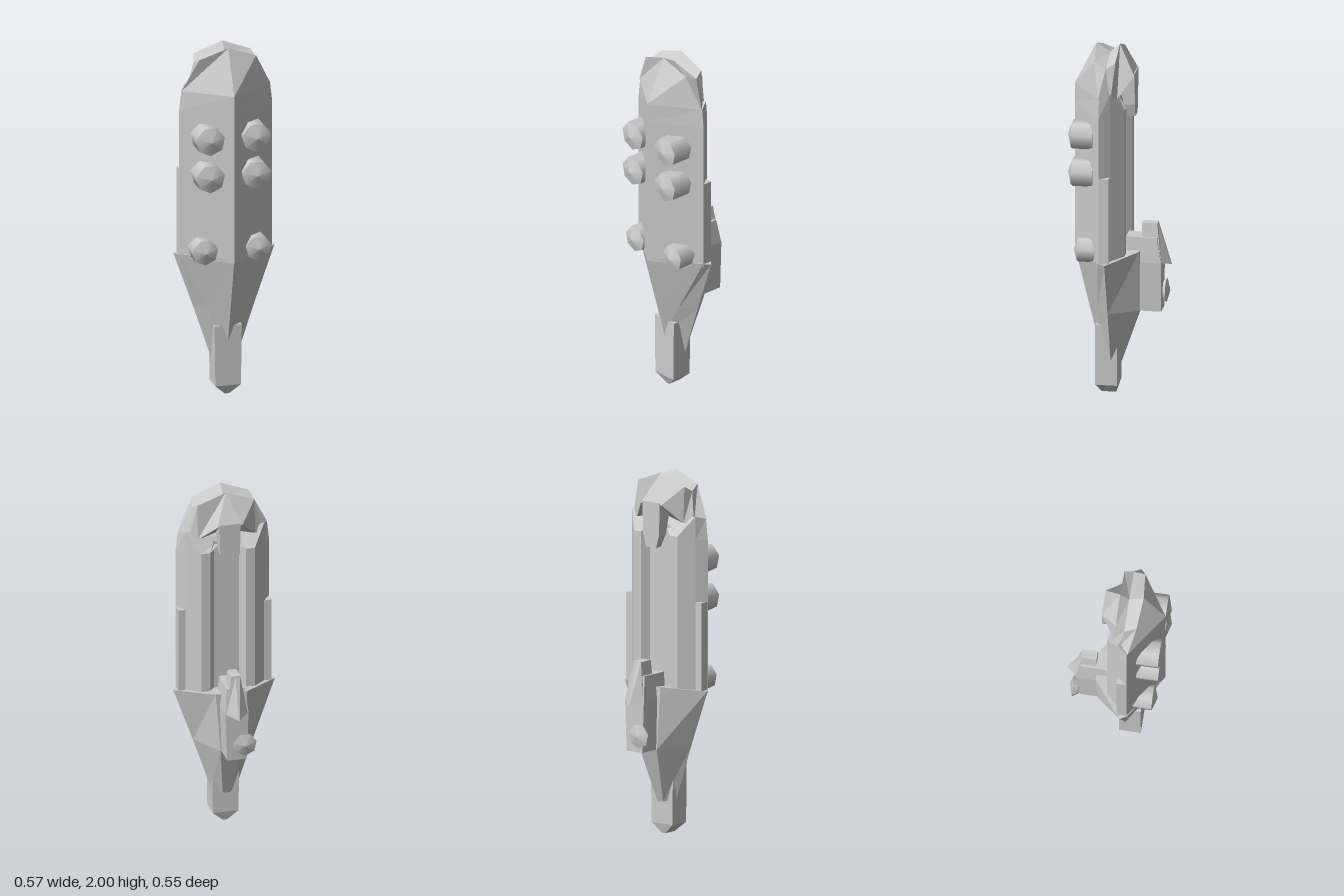
import * as THREE from 'three';

const flat = new THREE.MeshStandardMaterial({ color: 0xcccccc, flatShading: true });
const smooth = new THREE.MeshStandardMaterial({ color: 0xcccccc });

// Full ring from its +x half, listed from front to back
const ring = (half) => [
  ...half,
  ...half.filter((p) => p[0] !== 0).reverse().map(([x, y, z]) => [-x, y, z]),
];

// Skin between rings (bottom to top), closed at both ends
function loft(name, rings) {
  const pos = [];
  const tri = (a, b, c) => pos.push(...a, ...b, ...c);
  const n = rings[0].length;
  const centre = (r) => [0, 1, 2].map((k) => r.reduce((s, p) => s + p[k], 0) / n);
  const top = rings[rings.length - 1];
  const c0 = centre(rings[0]), c1 = centre(top);
  for (let i = 0; i < n; i++) {
    const j = (i + 1) % n;
    for (let r = 0; r < rings.length - 1; r++) {
      const lo = rings[r], hi = rings[r + 1];
      tri(lo[i], lo[j], hi[j]);
      tri(lo[i], hi[j], hi[i]);
    }
    tri(c0, rings[0][j], rings[0][i]);
    tri(c1, top[i], top[j]);
  }
  const g = new THREE.BufferGeometry();
  g.setAttribute('position', new THREE.Float32BufferAttribute(pos, 3));
  g.computeVertexNormals();
  const m = new THREE.Mesh(g, flat);
  m.name = name;
  return m;
}

// Rectangular ring: half width, height, front z, back z
const rect = (x, y, zf, zb) => ring([[x, y, zf], [x, y, zb]]);

// Seven-sided stud with a shallow pointed cap, facing +z
function stud(name, r, length, cap, rBack = r) {
  const g = new THREE.Group();
  g.name = name;
  const shaft = new THREE.Mesh(new THREE.CylinderGeometry(r, rBack, length, 7), smooth);
  const tip = new THREE.Mesh(new THREE.ConeGeometry(r, cap, 7), smooth);
  shaft.name = 'studShaft';
  tip.name = 'studCap';
  shaft.rotation.x = tip.rotation.x = Math.PI / 2;
  shaft.position.z = -length / 2;
  tip.position.z = cap / 2;
  g.add(shaft, tip);
  return g;
}

export function createModel() {
  const model = new THREE.Group();
  model.name = 'sheath';

  // Long body with a front ridge and a grooved back
  const body = (ys, w) => ring([
    [0, ys[0], 0.26], [w, ys[1], 0.085], [0.22, ys[2], 0.03],
    [0.15, ys[3], -0.04], [0.1, ys[3], -0.04], [0.07, ys[4], 0],
  ]);
  model.add(loft('body', [
    body([0.8, 0.8, 0.8, 0.8, 0.8], 0.262),
    body([1.65, 1.65, 1.65, 1.65, 1.65], 0.262),
    body([1.76, 1.76, 1.78, 1.67, 1.72], 0.25),
  ]));

  // Faceted hood over the top, overhanging the back
  model.add(loft('hood', [
    ring([[0, 1.76, 0.26], [0.25, 1.76, 0.09], [0.21, 1.73, 0.03], [0.16, 1.74, 0], [0.07, 1.84, -0.08]]),
    ring([[0, 2, 0.14], [0.16, 1.94, 0.125], [0.175, 1.91, 0.06], [0.16, 1.94, 0.01], [0.002, 2, 0.01]]),
  ]));

  // Tab hanging behind the hood
  model.add(loft('hoodTab', [
    rect(0.035, 1.6, -0.04, -0.08),
    rect(0.055, 1.67, -0.02, -0.08),
    rect(0.06, 1.85, 0.02, -0.08),
  ]));

  // Tapered lower guard
  model.add(loft('lowerGuard', [
    ring([[0, 0.31, 0.135], [0.001, 0.31, 0.135], [0.075, 0.2, 0.05], [0.02, 0.18, 0]]),
    ring([[0, 0.5, 0.182], [0.097, 0.5, 0.118], [0.175, 0.5, 0.05], [0.06, 0.49, -0.105]]),
    ring([[0, 0.82, 0.26], [0.262, 0.82, 0.09], [0.285, 0.815, 0.05], [0.09, 0.84, -0.11]]),
  ]));

  // Narrow tip at the bottom
  model.add(loft('tip', [
    rect(0.012, 0, 0.11, 0.03),
    rect(0.072, 0.055, 0.135, 0.015),
    rect(0.077, 0.4, 0.135, 0.015),
  ]));

  // Side rails and front studs
  for (const s of [1, -1]) {
    const rail = new THREE.Mesh(new THREE.BoxGeometry(0.05, 0.49, 0.055), flat);
    rail.name = 'sideRail';
    rail.position.set(s * 0.236, 1.06, 0.058);
    model.add(rail);
    for (const [x, y, z, r] of [[0.13, 1.51, 0.25, 0.082], [0.13, 1.295, 0.25, 0.082], [0.15, 0.86, 0.215, 0.073]]) {
      const b = stud('frontStud', r, 0.12, 0.025);
      b.position.set(s * x, y, z);
      model.add(b);
    }
  }

  // Clip block on the back, with a narrow neck and a pointed beak
  model.add(loft('clipBlock', [
    rect(0.055, 0.49, -0.08, -0.225),
    rect(0.065, 0.77, -0.04, -0.225),
    rect(0.05, 0.91, -0.03, -0.2),
  ]));
  model.add(loft('clipNeck', [
    rect(0.055, 0.78, -0.115, -0.215),
    rect(0.025, 0.985, -0.115, -0.2),
  ]));
  model.add(loft('clipBeak', [
    ring([[0.06, 0.77, -0.2], [0.06, 0.77, -0.225], [0.002, 0.75, -0.275]]),
    ring([[0.025, 0.98, -0.18], [0.025, 0.98, -0.199], [0.002, 0.98, -0.201]]),
  ]));

  // Flared button on the clip
  const button = stud('clipButton', 0.068, 0.03, 0.02, 0.05);
  button.rotation.y = Math.PI;
  button.position.set(-0.04, 0.583, -0.24);
  model.add(button);

  return model;
}
